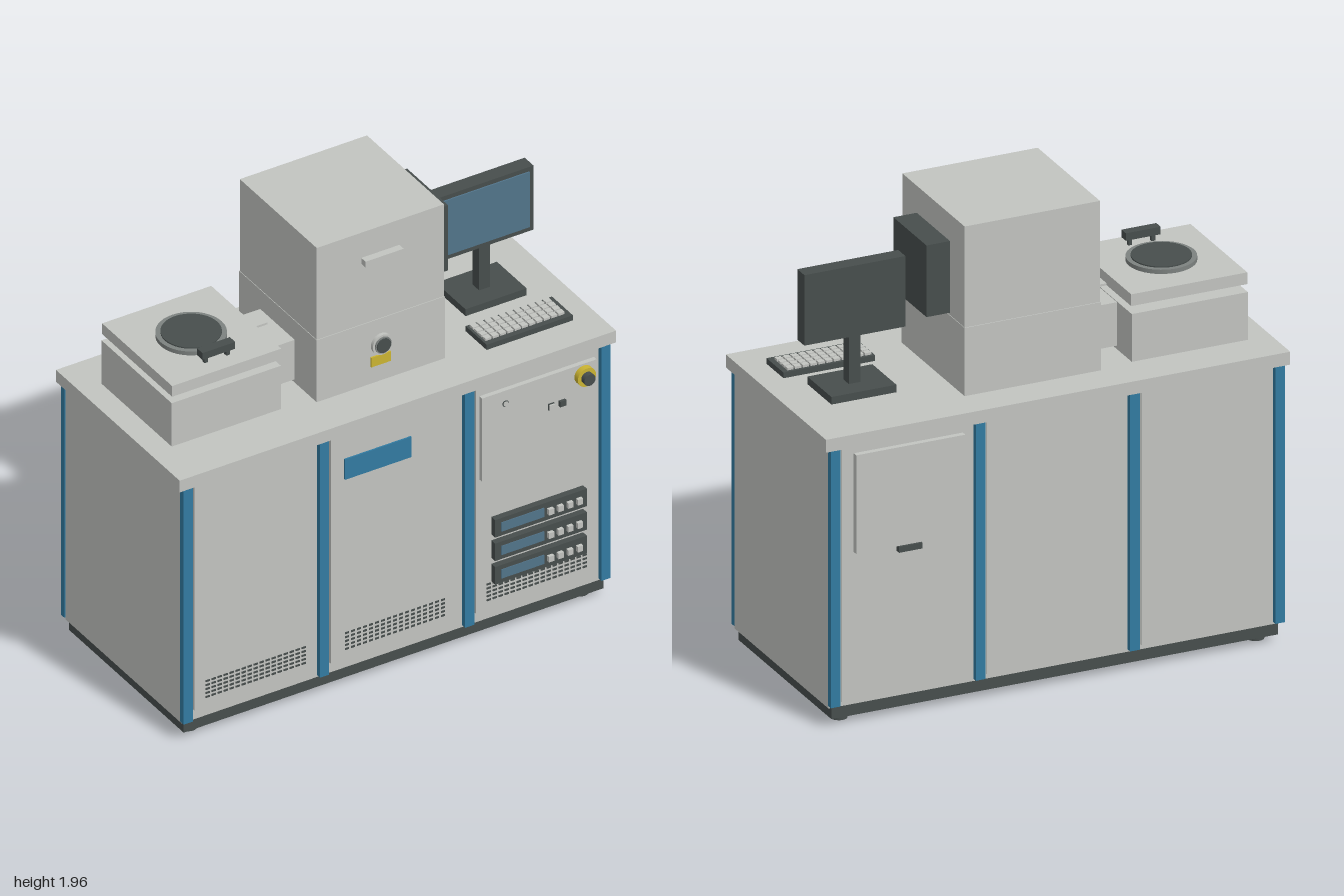
import * as THREE from 'three';

const mat = (name, color) => {
  const m = new THREE.MeshStandardMaterial({ color });
  m.name = name;
  return m;
};

export function createModel() {
  const grey = mat('light grey', 0xc2c4c0);
  const dark = mat('charcoal', 0x474e4d);
  const blue = mat('trim blue', 0x327ba1);
  const glass = mat('screen blue', 0x51748a);
  const yellow = mat('safety yellow', 0xcbb432);
  const black = mat('rim grey', 0x7d8280);
  const model = new THREE.Group();
  model.name = 'laboratoryWorkstation';

  const add = (name, geo, m, x, y, z) => {
    const mesh = new THREE.Mesh(geo, m);
    mesh.name = name;
    mesh.position.set(x, y, z);
    model.add(mesh);
    return mesh;
  };
  // box from its low and high limits on each axis
  const box = (name, m, x0, x1, y0, y1, z0, z1) =>
    add(name, new THREE.BoxGeometry(x1 - x0, y1 - y0, z1 - z0), m, (x0 + x1) / 2, (y0 + y1) / 2, (z0 + z1) / 2);
  // upright disc
  const disc = (name, m, r, x, z, y0, y1) =>
    add(name, new THREE.CylinderGeometry(r, r, y1 - y0, 40), m, x, (y0 + y1) / 2, z);
  // disc facing the front
  const knob = (name, m, r, x, y, z0, z1) => {
    const k = add(name, new THREE.CylinderGeometry(r, r, z1 - z0, 32), m, x, y, (z0 + z1) / 2);
    k.rotation.x = Math.PI / 2;
    return k;
  };

  // Cabinet, plinth, feet and worktop
  box('cabinet', grey, -0.975, 0.975, 0.08, 1.185, -0.455, 0.405);
  box('plinth', dark, -0.963, 0.96, 0.03, 0.08, -0.45, 0.4);
  box('worktop', grey, -1, 1, 1.185, 1.24, -0.485, 0.43);
  for (const x of [-0.9, 0.895])
    for (const z of [0.335, -0.38]) disc('foot', dark, 0.034, x, z, 0, 0.03);

  // Blue corner and divider strips, front and back
  for (const x of [-0.96, -0.335, 0.33, 0.955]) {
    box('frontStrip', blue, x - 0.021, x + 0.021, 0.09, 1.185, 0.403, 0.429);
    box('backStrip', blue, x - 0.021, x + 0.021, 0.09, 1.185, -0.478, -0.453);
  }

  // Front doors and rear panels
  for (const [x0, x1] of [[-0.925, -0.37], [-0.3, 0.295], [0.365, 0.92]]) {
    box('door', grey, x0, x1, 0.13, 1.182, 0.4, 0.42);
    box('rearPanel', grey, x0, x1, 0.1, 1.182, -0.463, -0.45);
  }
  box('doorPlate', blue, -0.24, 0.065, 0.975, 1.07, 0.419, 0.427);

  // Ventilation slots
  for (const x0 of [-0.866, -0.228, 0.422])
    for (let row = 0; row < 5; row++)
      for (let i = 0; i < 17; i++)
        add('ventSlot', new THREE.BoxGeometry(0.018, 0.008, 0.004), dark, x0 + i * 0.0275, 0.178 + row * 0.0185, 0.421);

  // Control panel with emergency stop and switches
  box('controlPanel', grey, 0.38, 0.905, 0.755, 1.145, 0.415, 0.44);
  knob('stopCollar', yellow, 0.042, 0.845, 1.095, 0.435, 0.465);
  knob('stopButton', dark, 0.026, 0.845, 1.095, 0.46, 0.488);
  knob('panelLockRim', dark, 0.014, 0.487, 1.085, 0.435, 0.443);
  knob('panelLock', grey, 0.011, 0.487, 1.085, 0.435, 0.447);
  box('switchFrame', dark, 0.681, 0.709, 0.986, 1.014, 0.435, 0.445);
  box('lightSwitch', grey, 0.684, 0.706, 0.989, 1.011, 0.44, 0.452);
  box('darkSwitch', dark, 0.731, 0.759, 0.987, 1.013, 0.435, 0.452);

  // Rack instruments
  for (const y of [0.3, 0.41, 0.52]) {
    box('rackUnit', dark, 0.435, 0.855, y - 0.041, y + 0.041, 0.415, 0.448);
    box('rackDisplay', glass, 0.462, 0.658, y - 0.021, y + 0.021, 0.444, 0.451);
    for (let i = 0; i < 4; i++) {
      const x = 0.685 + i * 0.044;
      box('rackKey', grey, x - 0.012, x + 0.012, y - 0.013, y + 0.013, 0.444, 0.463);
    }
  }

  // Tower with handle, viewing port, label and side box
  box('towerBase', grey, -0.256, 0.331, 1.24, 1.53, -0.333, 0.243);
  box('towerTop', grey, -0.254, 0.329, 1.53, 1.96, -0.329, 0.24);
  box('towerHandle', grey, -0.05, 0.125, 1.815, 1.842, 0.235, 0.272);
  knob('portFlange', grey, 0.046, 0.038, 1.415, 0.24, 0.258);
  knob('portRim', black, 0.037, 0.038, 1.415, 0.25, 0.264);
  knob('portGlass', dark, 0.032, 0.038, 1.415, 0.255, 0.268);
  box('warningLabel', yellow, -0.01, 0.08, 1.32, 1.365, 0.242, 0.25);
  box('sideBox', dark, 0.328, 0.43, 1.54, 1.845, -0.195, 0.108);

  // Loading chamber with lid, window and connecting duct
  box('chamber', grey, -0.9, -0.4, 1.24, 1.443, -0.31, 0.21);
  disc('chamberSeal', dark, 0.15, -0.65, -0.05, 1.443, 1.458);
  disc('sealRing', grey, 0.135, -0.65, -0.05, 1.455, 1.476);
  box('lid', grey, -0.9, -0.4, 1.475, 1.525, -0.305, 0.213);
  disc('windowRim', black, 0.14, -0.65, -0.05, 1.525, 1.543);
  disc('windowGlass', dark, 0.12, -0.65, -0.05, 1.54, 1.548);
  box('lidHandle', dark, -0.725, -0.575, 1.553, 1.585, 0.115, 0.155);
  for (const x of [-0.7, -0.6]) box('handlePost', dark, x - 0.008, x + 0.008, 1.52, 1.555, 0.127, 0.143);
  box('duct', grey, -0.405, -0.25, 1.255, 1.44, -0.175, 0.08);
  box('lidTab', grey, -0.405, -0.315, 1.474, 1.483, -0.08, -0.025);

  // Monitor
  box('monitor', dark, 0.48, 0.915, 1.475, 1.775, -0.108, -0.043);
  box('monitorScreen', glass, 0.5, 0.895, 1.497, 1.755, -0.044, -0.037);
  box('monitorNeck', dark, 0.67, 0.72, 1.265, 1.5, -0.1, -0.05);
  box('monitorFoot', dark, 0.555, 0.835, 1.24, 1.272, -0.185, 0.035);

  // Keyboard
  box('keyboard', dark, 0.5, 0.895, 1.24, 1.264, 0.125, 0.28);
  for (let r = 0; r < 4; r++)
    for (let c = 0; c < 11; c++)
      add('key', new THREE.BoxGeometry(0.027, 0.012, 0.025), grey, 0.524 + c * 0.0335, 1.268, 0.15 + r * 0.031);

  // Rear hatch with latch
  box('rearHatch', grey, 0.4, 0.87, 0.73, 1.15, -0.486, -0.46);
  box('hatchLatch', dark, 0.585, 0.685, 0.7, 0.725, -0.485, -0.46);

  return model;
}
